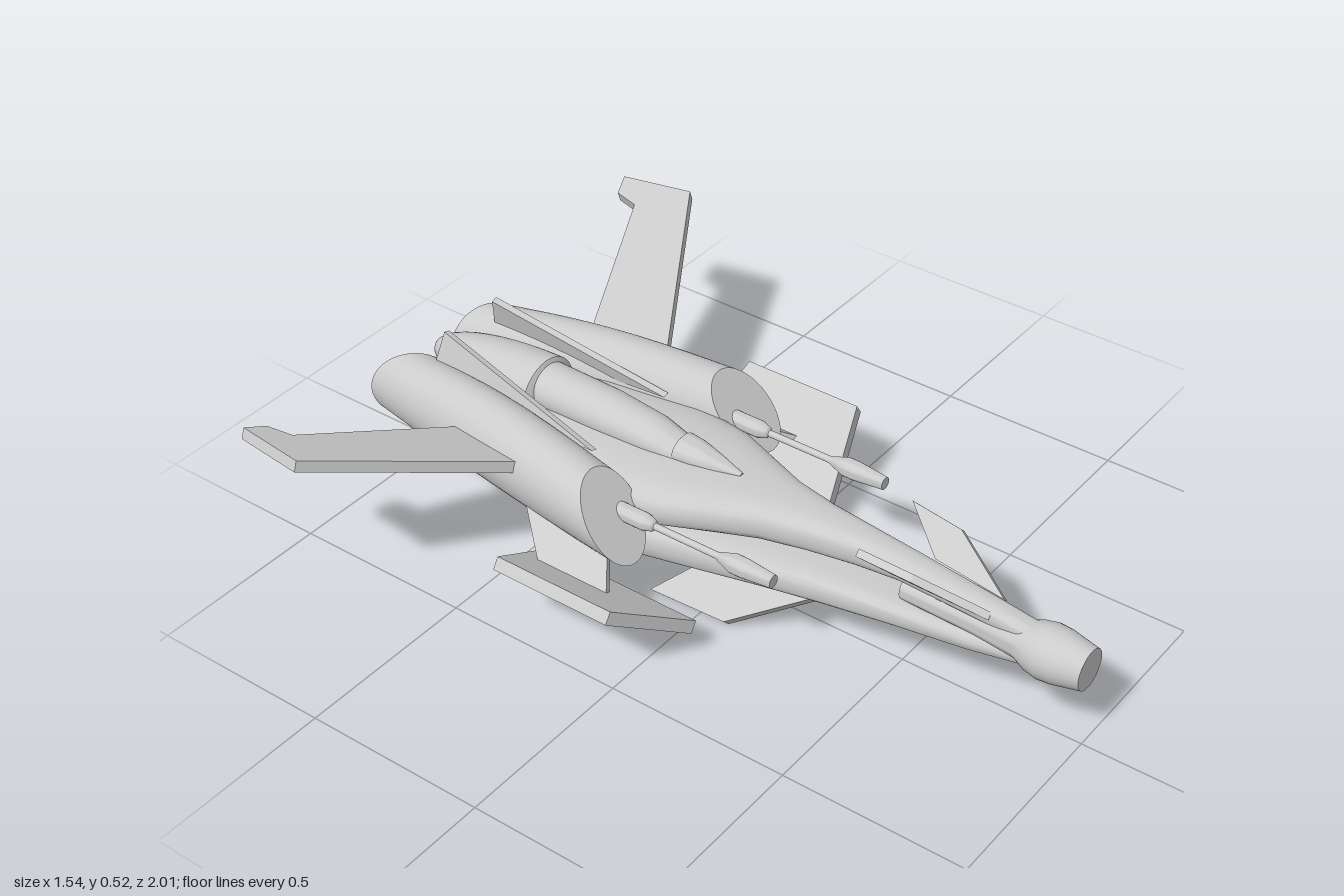
import * as THREE from 'three';
import { toCreasedNormals } from 'three/addons/utils/BufferGeometryUtils.js';

const material = new THREE.MeshStandardMaterial({ color: 0xcccccc });
const SIDES = [[1, 'left'], [-1, 'right']];
const V = (x, y, z) => new THREE.Vector3(x, y, z);

function addMesh(group, name, geometry) {
  const mesh = new THREE.Mesh(geometry, material);
  mesh.name = name;
  group.add(mesh);
  return mesh;
}

// Closed skin over rings of points, ordered front to back, capped at both ends
function skin(rings, crease = 0.6) {
  const n = rings[0].length;
  const pos = [];
  const idx = [];
  rings.forEach(r => r.forEach(p => pos.push(p.x, p.y, p.z)));
  for (let i = 0; i < rings.length - 1; i++) {
    for (let j = 0; j < n; j++) {
      const a = i * n + j, b = i * n + (j + 1) % n;
      idx.push(a, a + n, b, b, a + n, b + n);
    }
  }
  [0, rings.length - 1].forEach(i => {
    const c = rings[i].reduce((s, p) => s.add(p), V(0, 0, 0)).divideScalar(n);
    const k = pos.length / 3;
    pos.push(c.x, c.y, c.z);
    for (let j = 0; j < n; j++) {
      const a = i * n + j, b = i * n + (j + 1) % n;
      if (i === 0) idx.push(k, a, b); else idx.push(k, b, a);
    }
  });
  const g = new THREE.BufferGeometry();
  g.setAttribute('position', new THREE.Float32BufferAttribute(pos, 3));
  g.setIndex(idx);
  return toCreasedNormals(g, crease);
}

// Body from rows [z, half width, bottom, top]; a lower power is boxier
function body(rows, power, n = 32) {
  const bend = v => Math.sign(v) * Math.abs(v) ** power;
  return skin(rows.map(([z, w, y0, y1]) => Array.from({ length: n }, (_, j) => {
    const a = (j / n) * Math.PI * 2;
    return V(w * bend(Math.cos(a)), (y0 + y1) / 2 + (y1 - y0) / 2 * bend(Math.sin(a)), z);
  })));
}

// Turned part along z from [radius, z] points, ordered back to front
function turned(points, n = 24) {
  const g = new THREE.LatheGeometry(points.map(([r, z]) => new THREE.Vector2(r, z)), n);
  return toCreasedNormals(g.rotateX(Math.PI / 2), 0.6);
}

// Flat plate of thickness t through an outline of 3D corners
function plate(corners, t, side) {
  const p = corners.map(([x, y, z]) => V(x * side, y, z));
  const u = p[1].clone().sub(p[0]).normalize();
  const n = u.clone().cross(p[2].clone().sub(p[0])).normalize();
  const v = n.clone().cross(u);
  const shape = new THREE.Shape(p.map(q => {
    const d = q.clone().sub(p[0]);
    return new THREE.Vector2(d.dot(u), d.dot(v));
  }));
  const g = new THREE.ExtrudeGeometry(shape, { depth: t, bevelEnabled: false });
  g.translate(0, 0, -t / 2);
  return g.applyMatrix4(new THREE.Matrix4().makeBasis(u, v, n).setPosition(p[0]));
}

// Engine: a slightly swollen tube with oblique cuts at both ends
function nacelle(side) {
  const n = 40, steps = 10, rings = [];
  const rearSlope = side > 0 ? 0.36 : 0.85;
  for (let i = 0; i <= steps; i++) {
    const t = i / steps;
    const swell = Math.sin(t * Math.PI);
    const rx = 0.09 + 0.004 * swell, ry = 0.098 + 0.017 * swell;
    rings.push(Array.from({ length: n }, (_, j) => {
      const a = (j / n) * Math.PI * 2;
      const dx = rx * Math.cos(a), dy = ry * Math.sin(a);
      const z = THREE.MathUtils.lerp(-0.17 - 0.8 * dy, -0.938 + rearSlope * dx, t);
      const axis = 0.271 + 0.17 * (z + 0.17);
      return V(side * axis + dx, 0.308 - 0.008 * t + 0.004 * swell + dy, z);
    }));
  }
  return skin(rings);
}

// Plates given for the left side: [name, thickness, corners]
const PLATES = [
  ['mainWing', 0.03, [[0.2, 0.315, -0.385], [0.765, 0.51, -0.72], [0.735, 0.50, -0.925],
    [0.68, 0.481, -0.905], [0.665, 0.475, -0.835], [0.2, 0.315, -0.645]]],
  ['lowerPlate', 0.034, [[0.52, 0.245, 0.01], [0.29, 0.098, 0.085],
    [0.29, 0.098, -0.38], [0.52, 0.245, -0.335]]],
  ['pylon', 0.02, [[0.25, 0.27, -0.2], [0.4, 0.17, -0.09], [0.4, 0.17, -0.3], [0.25, 0.27, -0.48]]],
  ['noseCanard', 0.02, [[0.035, 0.295, 0.75], [0.11, 0.375, 0.58],
    [0.12, 0.388, 0.435], [0.05, 0.31, 0.55]]],
  ['ventralFin', 0.03, [[0.02, 0.155, 0.34], [0.16, 0.022, 0.085],
    [0.165, 0.018, -0.14], [0.02, 0.155, 0.03]]],
  ['tailFin', 0.018, [[0.145, 0.36, -0.33], [0.092, 0.475, -0.85], [0.13, 0.33, -0.88]]],
];

export function createModel() {
  const model = new THREE.Group();
  model.name = 'spacecraft';

  // Nose barrel with a bulged tip
  const nose = addMesh(model, 'noseBarrel', turned([[0, 0.5], [0.033, 0.5], [0.038, 0.7],
    [0.048, 0.82], [0.064, 0.855], [0.071, 0.89], [0.069, 0.925], [0.054, 1], [0, 1]], 32));
  nose.position.y = 0.238;

  // Upper fuselage, narrow in front and wide between the engines
  addMesh(model, 'upperFuselage', body([
    [0.86, 0.03, 0.24, 0.295], [0.72, 0.034, 0.255, 0.312], [0.5, 0.042, 0.27, 0.335],
    [0.38, 0.05, 0.262, 0.345], [0.25, 0.068, 0.252, 0.347], [0.13, 0.095, 0.243, 0.349],
    [0.02, 0.14, 0.235, 0.35], [-0.1, 0.19, 0.225, 0.35], [-0.25, 0.215, 0.215, 0.35],
    [-0.5, 0.19, 0.2, 0.35], [-0.75, 0.14, 0.188, 0.34], [-0.87, 0.115, 0.186, 0.315],
    [-0.91, 0.08, 0.188, 0.28]], 0.7));

  // Lower hull
  addMesh(model, 'lowerHull', body([
    [0.86, 0.03, 0.188, 0.225], [0.7, 0.045, 0.165, 0.215], [0.5, 0.06, 0.146, 0.208],
    [0.3, 0.09, 0.133, 0.215], [0.15, 0.125, 0.13, 0.222], [0, 0.168, 0.13, 0.235],
    [-0.15, 0.21, 0.13, 0.25], [-0.35, 0.218, 0.13, 0.25], [-0.5, 0.185, 0.13, 0.245],
    [-0.655, 0.135, 0.13, 0.235], [-0.7, 0.125, 0.19, 0.23]], 0.55));

  // Dorsal spine, canopy and rounded tail cone
  addMesh(model, 'dorsalSpine', body([
    [-0.05, 0.02, 0.3, 0.355], [-0.16, 0.048, 0.3, 0.378], [-0.25, 0.06, 0.3, 0.405],
    [-0.4, 0.068, 0.3, 0.42], [-0.62, 0.07, 0.3, 0.425]], 1));
  addMesh(model, 'canopy', body([
    [0.015, 0.006, 0.345, 0.355], [-0.05, 0.026, 0.33, 0.372],
    [-0.12, 0.043, 0.32, 0.387], [-0.165, 0.048, 0.32, 0.39]], 1));
  const cone = [];
  for (let i = 0; i <= 12; i++) {
    const t = (i / 12) * Math.PI / 2;
    cone.push([0.1 * Math.sin(t), -0.6 - 0.378 * Math.cos(t)]);
  }
  cone.push([0.075, -0.585], [0, -0.585]);
  addMesh(model, 'tailCone', turned(cone, 32)).position.y = 0.335;

  for (const [side, label] of SIDES) {
    const half = new THREE.Group();
    half.name = label + 'Side';
    model.add(half);
    addMesh(half, label + 'Engine', nacelle(side));
    for (const [name, t, corners] of PLATES) addMesh(half, label + '_' + name, plate(corners, t, side));

    // Gun with a thin barrel and bulged muzzle
    const gun = addMesh(half, label + 'Gun', turned([[0, -0.3], [0.022, -0.3], [0.023, -0.1],
      [0.015, -0.075], [0.009, -0.07], [0.009, 0.115], [0.014, 0.13], [0.025, 0.165],
      [0.025, 0.195], [0.017, 0.28], [0, 0.28]]));
    gun.position.set(side * 0.235, 0.3, 0);
  }
  return model;
}
